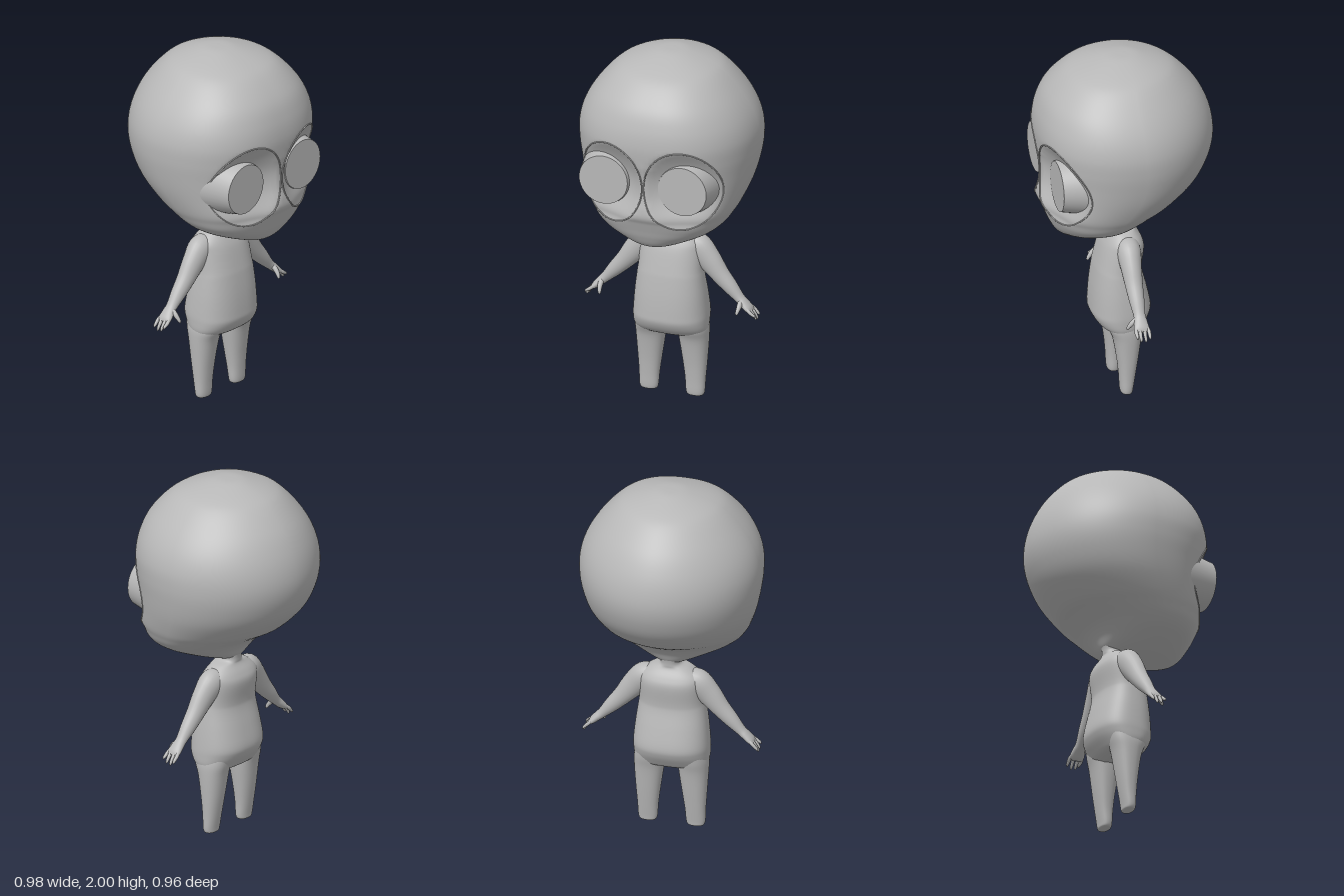
import * as THREE from 'three';

const skin = new THREE.MeshStandardMaterial({ color: 0xb8b8b8 });
skin.name = 'plain grey';

// Smoothly resample the rows of a cross-section table
function resample(rows, n) {
  const at = (i) => rows[Math.max(0, Math.min(rows.length - 1, i))];
  const out = [];
  for (let i = 0; i < rows.length - 1; i++) {
    for (let k = 0; k < n; k++) {
      const t = k / n;
      out.push(rows[i].map((b, c) => {
        const a = at(i - 1)[c], d = at(i + 1)[c], e = at(i + 2)[c];
        return b + 0.5 * t * (d - a + t * (2 * a - 5 * b + 4 * d - e + t * (3 * (b - d) + e - a)));
      }));
    }
  }
  out.push(rows[rows.length - 1]);
  return out;
}

// Skin a list of rings (equal-length arrays of Vector3) and close both ends
function loft(rings) {
  const n = rings[0].length, pos = [], idx = [];
  rings.forEach((r) => r.forEach((p) => pos.push(p.x, p.y, p.z)));
  for (let i = 0; i < rings.length - 1; i++) {
    for (let j = 0; j < n; j++) {
      const a = i * n + j, b = i * n + (j + 1) % n;
      idx.push(a, a + n, b + n, a, b + n, b);
    }
  }
  [0, rings.length - 1].forEach((e) => {
    const c = new THREE.Vector3();
    rings[e].forEach((p) => c.addScaledVector(p, 1 / n));
    const m = pos.length / 3;
    pos.push(c.x, c.y, c.z);
    for (let j = 0; j < n; j++) {
      const a = e * n + j, b = e * n + (j + 1) % n;
      idx.push(m, e ? b : a, e ? a : b);
    }
  });
  const g = new THREE.BufferGeometry();
  g.setAttribute('position', new THREE.Float32BufferAttribute(pos, 3));
  g.setIndex(idx);
  g.computeVertexNormals();
  return g;
}

const spow = (v, p) => Math.sign(v) * Math.abs(v) ** p;

// Horizontal superellipse ring from a row [y, halfWidth, zFront, zBack, xCentre]
function slice([y, w, zf, zb, xc = 0], n, expFront, expBack) {
  const zc = (zf + zb) / 2, d = (zf - zb) / 2;
  return Array.from({ length: n }, (_, j) => {
    const a = (j / n) * Math.PI * 2, c = Math.cos(a), e = 2 / (c > 0 ? expFront : expBack);
    return new THREE.Vector3(xc + w * spow(Math.sin(a), e), y, zc + d * spow(c, e));
  });
}

// Tapered limb along rows [x, y, z, thickness, depth]
function limb(rows, n = 20, sub = 5) {
  const pts = resample(rows, sub), zAxis = new THREE.Vector3(0, 0, 1);
  const P = pts.map((p) => new THREE.Vector3(p[0], p[1], p[2]));
  return loft(pts.map((p, i) => {
    const t = P[Math.min(i + 1, P.length - 1)].clone().sub(P[Math.max(i - 1, 0)]).normalize();
    const u = new THREE.Vector3().crossVectors(zAxis, t).normalize();
    const v = new THREE.Vector3().crossVectors(t, u);
    return Array.from({ length: n }, (_, j) => {
      const a = (j / n) * Math.PI * 2;
      return P[i].clone().addScaledVector(u, p[3] * Math.sin(a)).addScaledVector(v, p[4] * Math.cos(a));
    });
  }));
}

const HEAD = resample([
  [2.0, 0.01, 0.01, -0.01], [1.993, 0.09, 0.1, -0.09], [1.95, 0.23, 0.24, -0.22],
  [1.9, 0.31, 0.33, -0.3], [1.8, 0.4, 0.42, -0.39], [1.7, 0.46, 0.463, -0.445],
  [1.6, 0.489, 0.48, -0.475], [1.5, 0.49, 0.475, -0.48], [1.4, 0.475, 0.465, -0.455],
  [1.3, 0.45, 0.465, -0.4], [1.2, 0.412, 0.475, -0.3], [1.15, 0.385, 0.455, -0.22],
  [1.1, 0.35, 0.435, -0.14], [1.05, 0.285, 0.415, -0.09], [1.0, 0.175, 0.385, -0.06],
  [0.975, 0.095, 0.34, -0.03], [0.965, 0.04, 0.26, 0.04],
], 8);
const EYE = { x: 0.2, y: 1.36, rx: 0.195, ry: 0.23 };

// Front surface depth of the head at (x, y)
function faceZ(x, y) {
  const i = Math.max(1, HEAD.findIndex((r) => r[0] <= y));
  const a = HEAD[i - 1], b = HEAD[i], t = (a[0] - y) / (a[0] - b[0]);
  const [, w, zf, zb] = a.map((v, k) => v + (b[k] - v) * t);
  return (zf + zb) / 2 + ((zf - zb) / 2) * (1 - Math.min(1, Math.abs(x / w)) ** 2.3) ** (1 / 2.3);
}

export function createModel() {
  const model = new THREE.Group();
  model.name = 'bigHeadedFigure';
  const add = (name, geo) => {
    const m = new THREE.Mesh(geo, skin);
    m.name = name;
    model.add(m);
    return m;
  };

  // Head with two shallow dished eye sockets
  const rings = HEAD.map((r) => slice(r, 144, 2.3, 1.9));
  rings.flat().forEach((p) => {
    const r2 = ((Math.abs(p.x) - EYE.x) / EYE.rx) ** 2 + ((p.y - EYE.y) / EYE.ry) ** 2;
    if (p.z > 0.1 && r2 < 1) p.z -= 0.075 * (1 - r2);
  });
  add('head', loft(rings));

  // Neck and torso
  add('torso', loft(resample([
    [1.06, 0.075, 0.1, -0.08], [1.0, 0.058, 0.09, -0.06], [0.965, 0.06, 0.08, -0.055],
    [0.945, 0.11, 0.085, -0.057], [0.9, 0.165, 0.11, -0.085], [0.85, 0.175, 0.13, -0.1],
    [0.75, 0.178, 0.155, -0.088], [0.7, 0.184, 0.165, -0.09], [0.6, 0.197, 0.178, -0.115],
    [0.5, 0.206, 0.185, -0.135], [0.45, 0.207, 0.183, -0.125], [0.4, 0.203, 0.155, -0.095],
    [0.37, 0.185, 0.115, -0.07], [0.352, 0.13, 0.07, -0.03],
  ], 5).map((r) => slice(r, 56, 2.4, 2.4))));

  [1, -1].forEach((s) => {
    const side = s > 0 ? 'left' : 'right';
    const mirrored = (rows) => rows.map(([x, ...rest]) => [s * x, ...rest]);

    // Leg with a blunt foot
    add(side + 'Leg', loft(resample([
      [0.46, 0.07, 0.12, -0.09, s * 0.12], [0.4, 0.082, 0.12, -0.08, s * 0.121],
      [0.33, 0.08, 0.092, -0.062, s * 0.123], [0.2, 0.067, 0.07, -0.042, s * 0.128],
      [0.1, 0.057, 0.06, -0.026, s * 0.131], [0.03, 0.053, 0.056, -0.014, s * 0.132],
      [0.006, 0.047, 0.052, -0.01, s * 0.132], [0, 0.037, 0.045, -0.003, s * 0.132],
    ], 5).map((r) => slice(r, 32, 2.3, 2.3))));

    // Arm and palm
    add(side + 'Arm', limb(mirrored([
      [0.08, 0.895, 0.01, 0.04, 0.05], [0.14, 0.865, 0.01, 0.075, 0.065],
      [0.205, 0.8, 0.014, 0.068, 0.056], [0.27, 0.722, 0.016, 0.052, 0.047],
      [0.33, 0.657, 0.017, 0.041, 0.04], [0.38, 0.603, 0.018, 0.028, 0.032],
      [0.407, 0.578, 0.019, 0.024, 0.036], [0.437, 0.55, 0.021, 0.019, 0.042],
      [0.452, 0.535, 0.022, 0.01, 0.036],
    ]), 24));

    // Fingers and thumb
    [[0.055, 0.515], [0.034, 0.497], [0.009, 0.492], [-0.014, 0.506]].forEach(([z, tip], i) => {
      add(side + 'Finger' + (i + 1), limb(mirrored([
        [0.43, 0.56, z * 0.8 + 0.005, 0.009, 0.009], [0.452, 0.54, z, 0.01, 0.0105],
        [0.47, (0.54 + tip) / 2, z, 0.009, 0.009], [0.48, tip + 0.006, z, 0.007, 0.007],
        [0.483, tip - 0.003, z, 0.002, 0.002],
      ]), 10, 3));
    });
    add(side + 'Thumb', limb(mirrored([
      [0.395, 0.595, 0.03, 0.014, 0.014], [0.397, 0.572, 0.058, 0.014, 0.014],
      [0.394, 0.55, 0.077, 0.011, 0.011], [0.391, 0.535, 0.086, 0.008, 0.008],
      [0.39, 0.528, 0.088, 0.002, 0.002],
    ]), 10, 3));

    // Thin rim wrapped around the eye socket
    const loop = Array.from({ length: 64 }, (_, k) => {
      const a = (k / 64) * Math.PI * 2;
      const x = EYE.x + EYE.rx * Math.cos(a), y = EYE.y + EYE.ry * Math.sin(a);
      return new THREE.Vector3(s * x, y, faceZ(x, y));
    });
    add(side + 'EyeRim', new THREE.TubeGeometry(new THREE.CatmullRomCurve3(loop, true), 128, 0.004, 6, true));

    // Flat-faced pupil block, flaring backwards
    const pupil = add(side + 'Pupil', new THREE.CylinderGeometry(0.138, 0.175, 0.175, 40));
    pupil.rotation.x = Math.PI / 2;
    pupil.position.set(s > 0 ? 0.21 : -0.24, 1.36, 0.3375);
  });

  return model;
}
